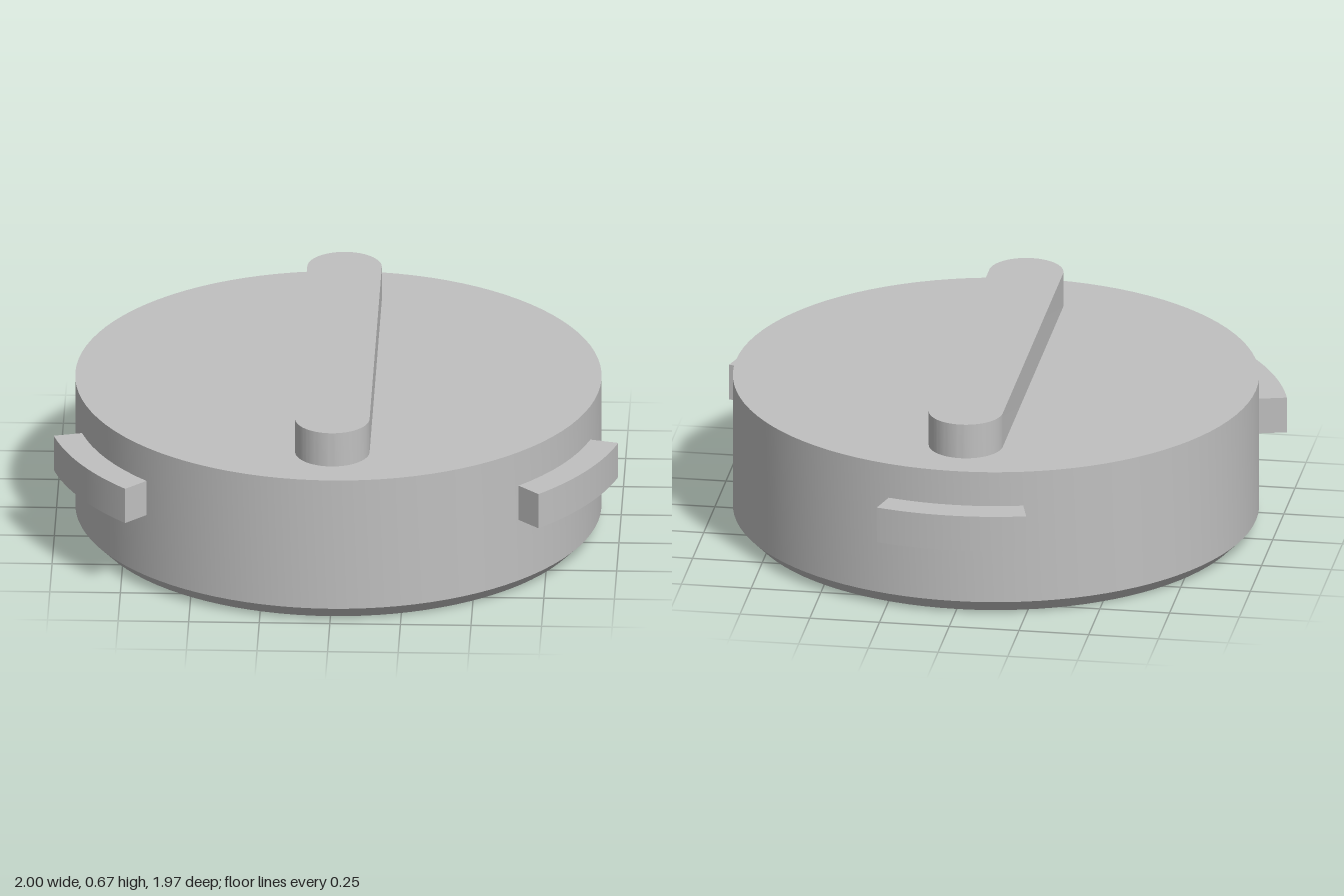
import * as THREE from 'three';
import { toCreasedNormals } from 'three/addons/utils/BufferGeometryUtils.js';

const BODY_R = 0.932, TAB_R = 1.035, BODY_H = 0.545;

export function createModel() {
  const model = new THREE.Group();
  model.name = 'bayonetCap';
  const grey = new THREE.MeshStandardMaterial({ color: 0xc0c0c0 });
  grey.name = 'plainGrey';

  const add = (name, geometry, y = 0) => {
    const mesh = new THREE.Mesh(toCreasedNormals(geometry, Math.PI / 6), grey);
    mesh.name = name;
    mesh.position.y = y;
    model.add(mesh);
  };

  // Extrude a plan-view shape upwards
  const extrudeUp = (shape, height) =>
    new THREE.ExtrudeGeometry(shape, { depth: height, bevelEnabled: false, curveSegments: 24 })
      .rotateX(-Math.PI / 2);

  // Round body with a chamfered foot and a blind hole underneath
  const profile = [
    [0, 0.27], [0.43, 0.27], [0.43, 0], [0.882, 0],
    [BODY_R, 0.05], [BODY_R, BODY_H], [0, BODY_H],
  ].map(([r, y]) => new THREE.Vector2(r, y));
  add('body', new THREE.LatheGeometry(profile, 96));

  // Grip bar with rounded ends across the top
  const r = 0.132, half = 0.807 - r;
  const grip = new THREE.Shape();
  grip.absarc(0, half, r, 0, Math.PI, false);
  grip.absarc(0, -half, r, Math.PI, 2 * Math.PI, false);
  grip.closePath();
  add('gripBar', extrudeUp(grip, 0.135), BODY_H - 0.007);

  // Three locking tabs, each a 30 degree ring sector
  const spread = Math.PI / 12;
  ['backTab', 'rightTab', 'leftTab'].forEach((name, i) => {
    const mid = Math.PI / 2 + i * 2 * Math.PI / 3;
    const tab = new THREE.Shape();
    tab.absarc(0, 0, TAB_R, mid - spread, mid + spread, false);
    tab.absarc(0, 0, BODY_R - 0.02, mid + spread, mid - spread, true);
    tab.closePath();
    add(name, extrudeUp(tab, 0.132), 0.284);
  });

  // The back tab sticks out, so the round body sits slightly forward
  model.position.z = (TAB_R - BODY_R) / 2;
  return model;
}
